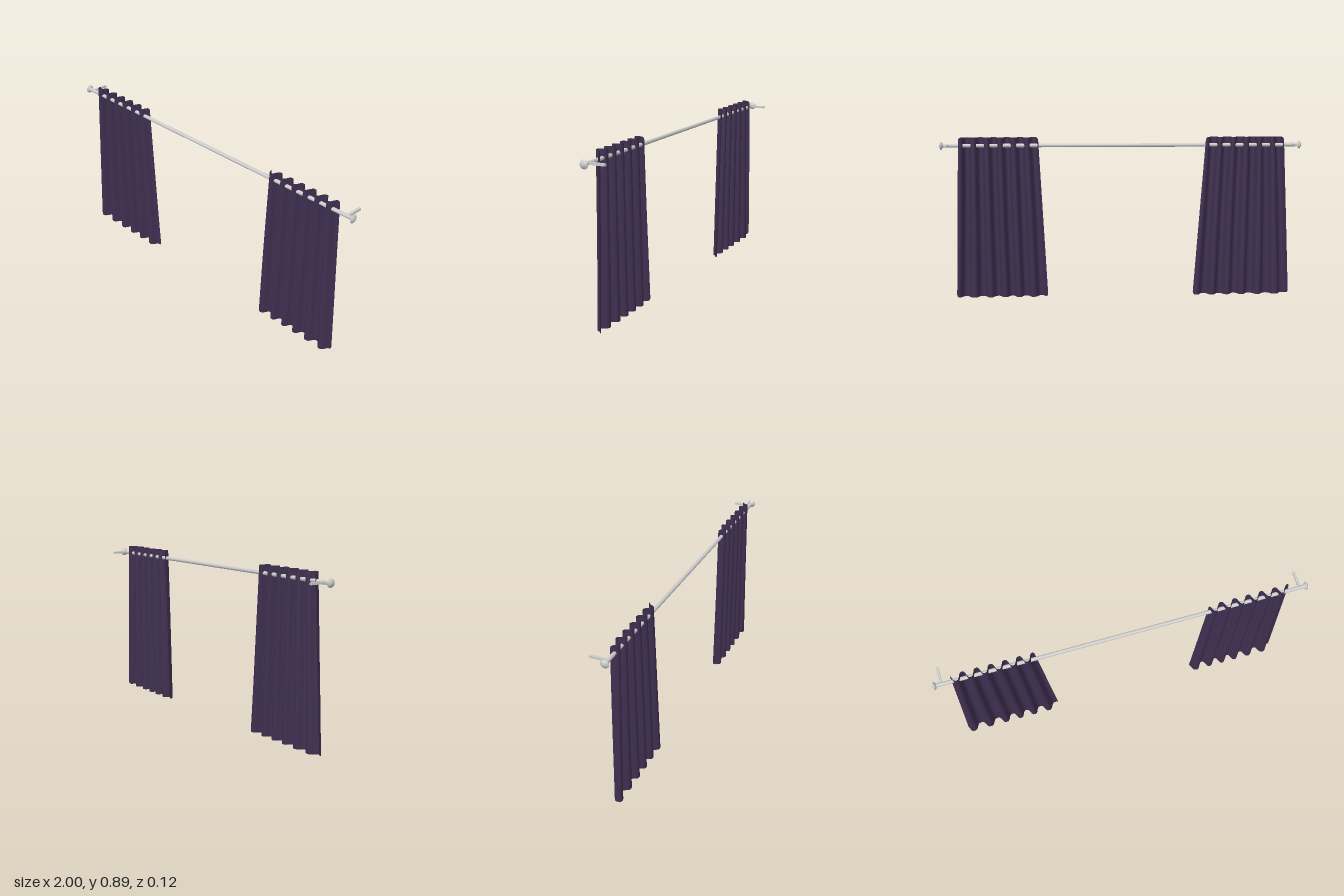
import * as THREE from 'three';

const ROD_Y = 0.845, ROD_Z = 0.036;
const metal = new THREE.MeshStandardMaterial({ color: 0xcccccc });
const cloth = new THREE.MeshStandardMaterial({ color: 0x3f2f50, side: THREE.DoubleSide });

function add(parent, name, geometry, material, x, y, z) {
  const mesh = new THREE.Mesh(geometry, material);
  mesh.name = name;
  mesh.position.set(x, y, z);
  parent.add(mesh);
  return mesh;
}

// Pleated cloth that widens toward the hem, with softly rounded corners
function curtainGeometry(topLeft, topRight, hemLeft, hemRight, seed) {
  const height = 0.89, folds = 6, corner = 0.016;
  const geo = new THREE.PlaneGeometry(1, 1, 168, 30);
  const pos = geo.attributes.position;
  for (let i = 0; i < pos.count; i++) {
    const u = pos.getX(i) + 0.5, v = pos.getY(i) + 0.5;
    const drop = 1 - v;
    const left = THREE.MathUtils.lerp(topLeft, hemLeft, drop);
    const right = THREE.MathUtils.lerp(topRight, hemRight, drop);
    const x = THREE.MathUtils.lerp(left, right, u);

    // Columns near a side edge are shortened along a quarter circle
    const d = Math.max(0, corner - Math.min(x - left, right - x)) / corner;
    const inset = corner * (1 - Math.sqrt(Math.max(0, 1 - d * d)));
    const y = inset + v * (height - 2 * inset);

    // The pleats wander a little as they fall
    const drift = drop * 0.5 * Math.sin(u * 7 + seed + drop * 1.5);
    const wave = Math.sin(u * folds * Math.PI * 2 + drift - Math.PI / 4);
    const z = ROD_Z + 0.0015 * drop + 0.0195 * Math.tanh(1.5 * wave) / Math.tanh(1.5);
    pos.setXYZ(i, x, y, z);
  }
  geo.computeVertexNormals();
  return geo;
}

export function createModel() {
  const model = new THREE.Group();
  model.name = 'curtainsOnRod';

  // Rod
  const rod = add(model, 'rod', new THREE.CylinderGeometry(0.01, 0.01, 1.96, 24), metal, 0, ROD_Y, ROD_Z);
  rod.rotation.z = Math.PI / 2;

  // Finial: flared disc with a low domed cap
  const profile = [[0.01, 0], [0.013, 0.003], [0.021, 0.008], [0.0225, 0.011], [0.021, 0.014],
    [0.012, 0.019], [0.008, 0.021], [0, 0.022]].map(([r, h]) => new THREE.Vector2(r, h));
  const finialGeo = new THREE.LatheGeometry(profile, 28);
  const armGeo = new THREE.BoxGeometry(0.014, 0.012, 0.093);

  for (const side of [-1, 1]) {
    const finial = add(model, side > 0 ? 'leftFinial' : 'rightFinial', finialGeo, metal, side * 0.978, ROD_Y, ROD_Z);
    finial.rotation.z = -side * Math.PI / 2;
    // Wall bracket arm reaching back from the rod
    add(model, side > 0 ? 'leftBracket' : 'rightBracket', armGeo, metal, side * 0.955, ROD_Y, -0.0105);
  }

  // Curtain panels
  add(model, 'rightCurtain', curtainGeometry(-0.9, -0.463, -0.945, -0.4, 0.4), cloth, 0, 0, 0);
  add(model, 'leftCurtain', curtainGeometry(0.46, 0.895, 0.415, 0.92, 2.1), cloth, 0, 0, 0);
  return model;
}
